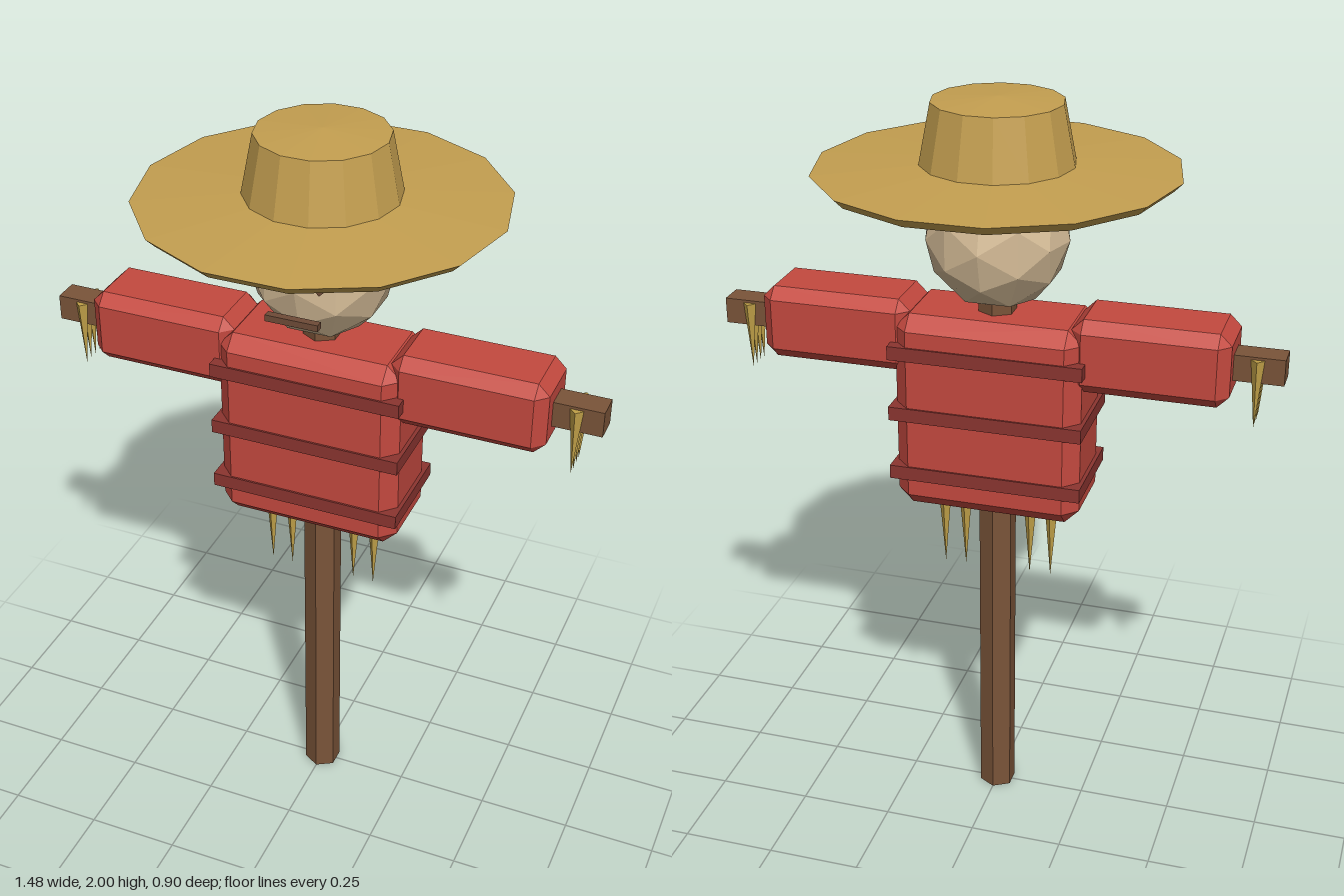
import * as THREE from 'three';
import { ConvexGeometry } from 'three/addons/geometries/ConvexGeometry.js';

function material(name, color) {
  const m = new THREE.MeshStandardMaterial({ color, flatShading: true });
  m.name = name;
  return m;
}

// Box whose edges are cut by a single flat chamfer
function chamferBox(w, h, d, c) {
  const points = [];
  for (const sx of [-1, 1]) for (const sy of [-1, 1]) for (const sz of [-1, 1]) {
    const x = w / 2, y = h / 2, z = d / 2;
    points.push(
      new THREE.Vector3(sx * x, sy * (y - c), sz * (z - c)),
      new THREE.Vector3(sx * (x - c), sy * y, sz * (z - c)),
      new THREE.Vector3(sx * (x - c), sy * (y - c), sz * z));
  }
  return new ConvexGeometry(points);
}

export function createModel() {
  const model = new THREE.Group();
  model.name = 'scarecrow';

  const wood = material('wood', 0x7a5439);
  const shirt = material('red shirt', 0xc4493f);
  const stripe = material('dark red stripe', 0x8b3530);
  const sack = material('sackcloth', 0xd6bd98);
  const hatStraw = material('hat straw', 0xc49f50);
  const straw = material('loose straw', 0xc0a048);
  const features = material('face brown', 0x6e4b37);

  function add(name, geometry, mat, x = 0, y = 0, z = 0) {
    const mesh = new THREE.Mesh(geometry, mat);
    mesh.name = name;
    mesh.position.set(x, y, z);
    model.add(mesh);
    return mesh;
  }

  // Wooden frame
  add('post', new THREE.CylinderGeometry(0.05, 0.05, 1.52, 6), wood, 0, 0.76, 0);
  add('crossbar', new THREE.BoxGeometry(1.476, 0.068, 0.068), wood, 0, 1.381, 0);

  // Shirt with stripes
  add('torso', chamferBox(0.49, 0.535, 0.254, 0.038), shirt, 0, 1.186, 0);
  for (const y of [1.02, 1.187, 1.355]) {
    add('shirtStripe', new THREE.BoxGeometry(0.51, 0.037, 0.264), stripe, 0, y, 0);
  }

  // Hanging straw, points down
  function strawTuft(name, x, top, z, radius, length) {
    add(name, new THREE.ConeGeometry(radius, length, 4), straw, x, top - length / 2, z).rotation.x = Math.PI;
  }

  for (const side of [-1, 1]) {
    add(side > 0 ? 'leftSleeve' : 'rightSleeve', chamferBox(0.4, 0.194, 0.2, 0.03), shirt, side * 0.411, 1.383, 0);
    for (const z of [-0.035, -0.012, 0.012, 0.035]) {
      strawTuft('handStraw', side * 0.67, 1.408, z, 0.017, 0.182);
    }
    for (const x of [0.09, 0.148]) {
      strawTuft('waistStraw', side * x, 0.95, 0, 0.021, 0.25);
    }
    // Diamond eyes
    add(side > 0 ? 'leftEye' : 'rightEye', new THREE.BoxGeometry(0.05, 0.05, 0.022), features,
      side * 0.069, 1.7, 0.177).rotation.z = Math.PI / 4;
  }

  // Head and mouth
  add('head', new THREE.IcosahedronGeometry(0.19, 1), sack, 0, 1.653, 0).scale.set(0.98, 1, 0.93);
  add('mouth', new THREE.BoxGeometry(0.137, 0.017, 0.02), features, 0, 1.581, 0.185);

  // Wide-brimmed hat, fourteen sided
  const profile = [[0, 1.8], [0.437, 1.8], [0.46, 1.823], [0.195, 1.838], [0.165, 1.99], [0, 2]]
    .map(([r, y]) => new THREE.Vector2(r, y));
  add('hat', new THREE.LatheGeometry(profile, 14), hatStraw).rotation.y = Math.PI / 2;

  return model;
}
